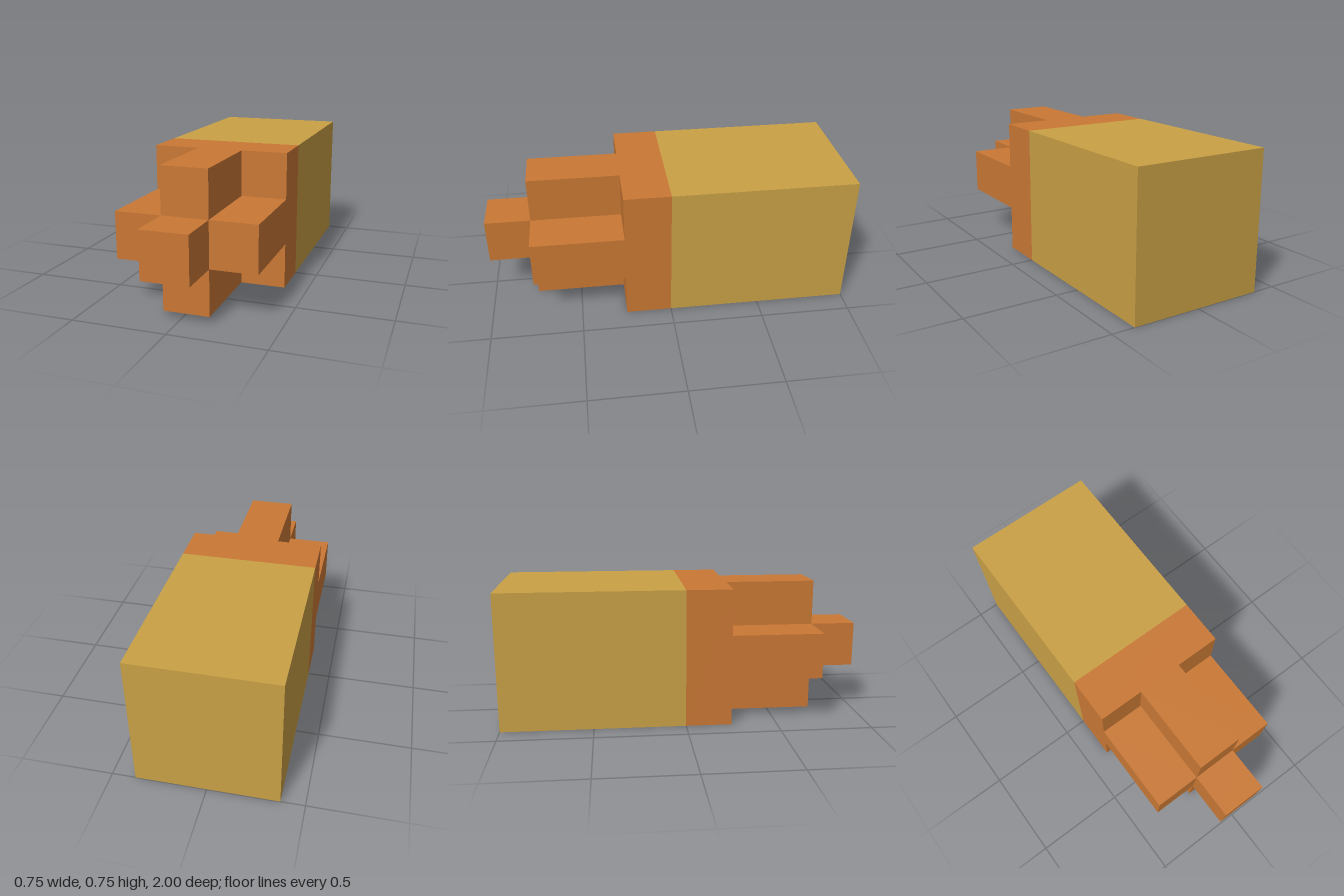
import * as THREE from 'three';

export function createModel() {
  const model = new THREE.Group();
  const copper = new THREE.MeshStandardMaterial({ color: 0xca7834 });
  copper.name = 'copper orange';
  const brass = new THREE.MeshStandardMaterial({ color: 0xc9a045 });
  brass.name = 'brass yellow';

  const unit = 0.25; // one block of the stepped tip
  const midY = 1.5 * unit;

  // Square block between two depths, centred on the long axis
  function block(name, size, z0, z1, material) {
    const mesh = new THREE.Mesh(new THREE.BoxGeometry(size, size, z1 - z0), material);
    mesh.name = name;
    mesh.position.set(0, midY, (z0 + z1) / 2);
    model.add(mesh);
  }

  // Casing and the full-width base of the tip
  block('casing', 3 * unit, -1, 0, brass);
  block('tipBase', 3 * unit, 0, unit, copper);

  // Plus-shaped middle step
  const a = 0.5 * unit, b = 1.5 * unit;
  const outline = [
    [-a, -b], [a, -b], [a, -a], [b, -a], [b, a], [a, a],
    [a, b], [-a, b], [-a, a], [-b, a], [-b, -a], [-a, -a],
  ].map(([x, y]) => new THREE.Vector2(x, y));
  const cross = new THREE.Mesh(
    new THREE.ExtrudeGeometry(new THREE.Shape(outline), { depth: 2 * unit, bevelEnabled: false }),
    copper
  );
  cross.name = 'tipCross';
  cross.position.set(0, midY, unit);
  model.add(cross);

  // Single block at the very front
  block('tipPoint', unit, 3 * unit, 4 * unit, copper);

  return model;
}
